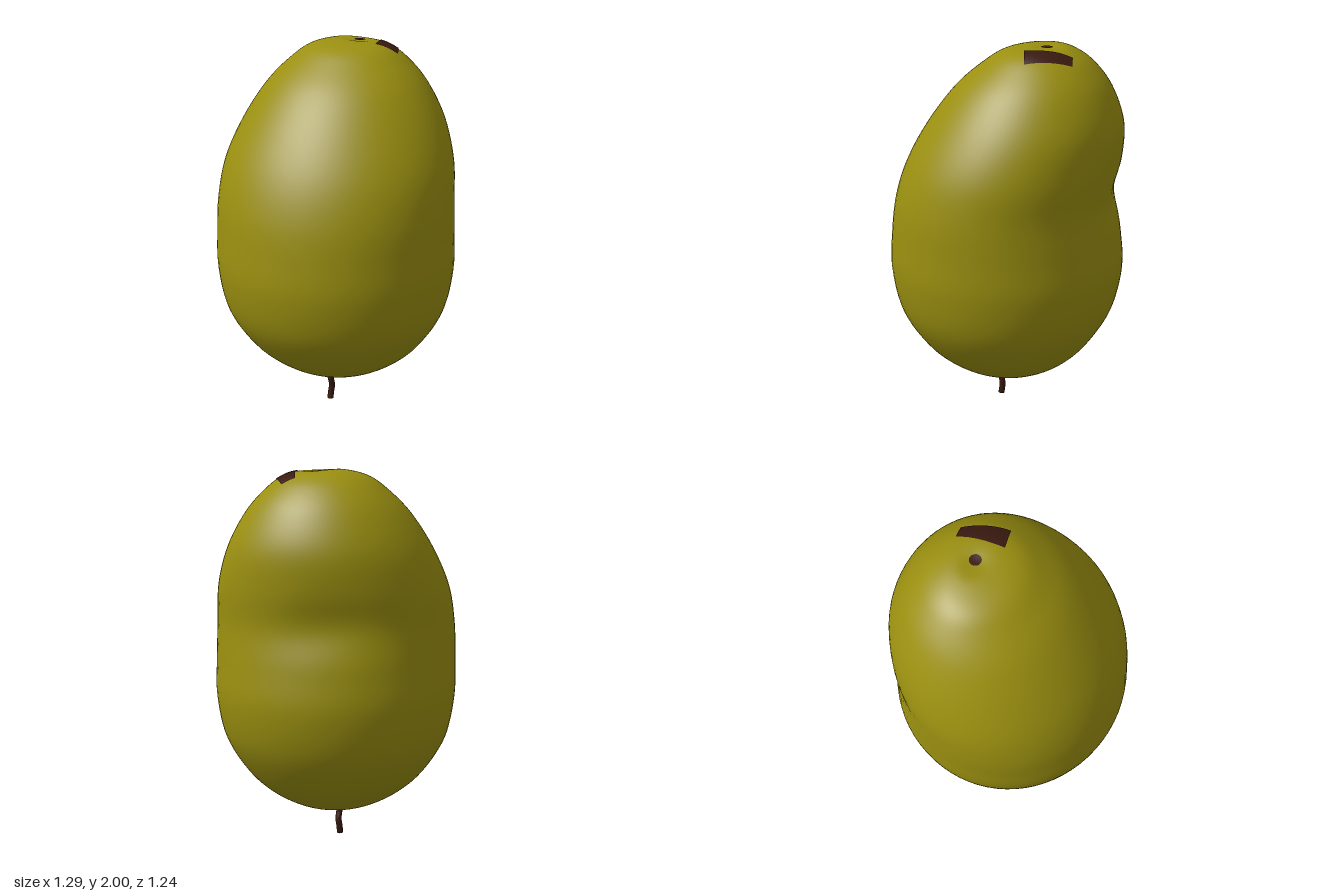
import * as THREE from 'three';

// Cross-sections from bottom to top: [height, half width, front z, back z]
const SECTIONS = [
  [0.17, 0.001, 0.001, -0.001],
  [0.18, 0.11, 0.1, -0.12],
  [0.215, 0.23, 0.21, -0.235],
  [0.29, 0.365, 0.34, -0.36],
  [0.4, 0.485, 0.46, -0.465],
  [0.58, 0.595, 0.575, -0.57],
  [0.8, 0.64, 0.623, -0.617],
  [1.0, 0.641, 0.615, -0.602],
  [1.2, 0.635, 0.585, -0.58],
  [1.4, 0.61, 0.515, -0.6],
  [1.6, 0.535, 0.4, -0.603],
  [1.78, 0.425, 0.26, -0.54],
  [1.9, 0.31, 0.12, -0.45],
  [1.965, 0.215, 0.015, -0.36],
  [1.995, 0.1, -0.11, -0.28],
  [2.0, 0.001, -0.2, -0.202],
];
const SPOT = { x: 0.034, z: -0.217, r: 0.03 };

const skin = new THREE.MeshStandardMaterial({ color: 0x9a8f10 });
const bark = new THREE.MeshStandardMaterial({ color: 0x3a1a10, side: THREE.DoubleSide });

// Grid of points (rows x columns) turned into a smooth surface
function gridGeometry(rows, cols, point, wrap) {
  const pos = [], index = [];
  const perRow = wrap ? cols : cols + 1;
  for (let i = 0; i <= rows; i++) {
    for (let j = 0; j < perRow; j++) pos.push(...point(i / rows, j / cols));
  }
  for (let i = 0; i < rows; i++) {
    for (let j = 0; j < cols; j++) {
      const k = (j + 1) % (wrap ? cols : cols + 1);
      const a = i * perRow + j, b = i * perRow + k;
      index.push(a, b, b + perRow, a, b + perRow, a + perRow);
    }
  }
  const geometry = new THREE.BufferGeometry();
  geometry.setAttribute('position', new THREE.Float32BufferAttribute(pos, 3));
  geometry.setIndex(index);
  geometry.computeVertexNormals();
  return geometry;
}

function fruitGeometry() {
  const last = SECTIONS.length - 1;
  const curve = new THREE.CubicInterpolant(SECTIONS.map((s, i) => i), SECTIONS.flat(), 4);
  return gridGeometry(90, 72, (v, u) => {
    const [y, w, front, back] = curve.evaluate(v * last);
    const a = u * Math.PI * 2;
    const x = w * Math.sin(a);
    let z = (front + back) / 2 + (front - back) / 2 * Math.cos(a);
    // extra hollow in the back of the fruit
    if (z < 0) z += 0.025 * Math.exp(-(((x + 0.12) / 0.25) ** 2) - ((y - 1.24) / 0.13) ** 2);
    // shallow dimple around the blossom end
    const d2 = (x - SPOT.x) ** 2 + (z - SPOT.z) ** 2;
    const dip = y > 1.7 ? 0.018 * Math.exp(-d2 / 0.006) : 0;
    return [x, y - dip, z];
  }, true);
}

export function createModel() {
  const group = new THREE.Group();
  const add = (name, geometry, material) => {
    const mesh = new THREE.Mesh(geometry, material);
    mesh.name = name;
    group.add(mesh);
    return mesh;
  };

  const fruit = add('fruitBody', fruitGeometry(), skin);

  // Drops a point onto the top of the fruit
  const ray = new THREE.Raycaster();
  const onSkin = (x, z) => {
    ray.set(new THREE.Vector3(x, 3, z), new THREE.Vector3(0, -1, 0));
    const hit = ray.intersectObject(fruit)[0];
    return [x, (hit ? hit.point.y : 1.95) + 0.005, z];
  };

  // Curved bark patch lying on the skin
  const inner = new THREE.QuadraticBezierCurve(
    new THREE.Vector2(0.1, -0.37), new THREE.Vector2(0.14, -0.26), new THREE.Vector2(0.16, -0.135));
  const outer = new THREE.QuadraticBezierCurve(
    new THREE.Vector2(0.165, -0.386), new THREE.Vector2(0.235, -0.29), new THREE.Vector2(0.27, -0.17));
  add('skinPatch', gridGeometry(10, 6, (v, u) => {
    const p = inner.getPoint(1 - v).lerp(outer.getPoint(1 - v), u);
    return onSkin(p.x, p.y);
  }), bark);

  // Round blossom scar in the dimple
  add('blossomScar', gridGeometry(3, 20, (v, u) => {
    const a = u * Math.PI * 2, r = SPOT.r * (1 - v * 0.98);
    return onSkin(SPOT.x + r * Math.sin(a), SPOT.z + r * Math.cos(a));
  }, true), bark);

  // Wavy stem below, with a closed tip
  const path = new THREE.CatmullRomCurve3([
    [-0.018, 0.24, 0.035], [-0.02, 0.17, 0.036], [-0.01, 0.13, 0.048],
    [-0.007, 0.08, 0.036], [-0.012, 0.04, 0.037], [-0.014, 0, 0.043],
  ].map((p) => new THREE.Vector3(...p)));
  add('stem', new THREE.TubeGeometry(path, 24, 0.017, 10), bark);
  const tip = add('stemTip', new THREE.CircleGeometry(0.017, 10), bark);
  tip.rotation.x = Math.PI / 2;
  tip.position.set(-0.014, 0.001, 0.043);

  return group;
}
